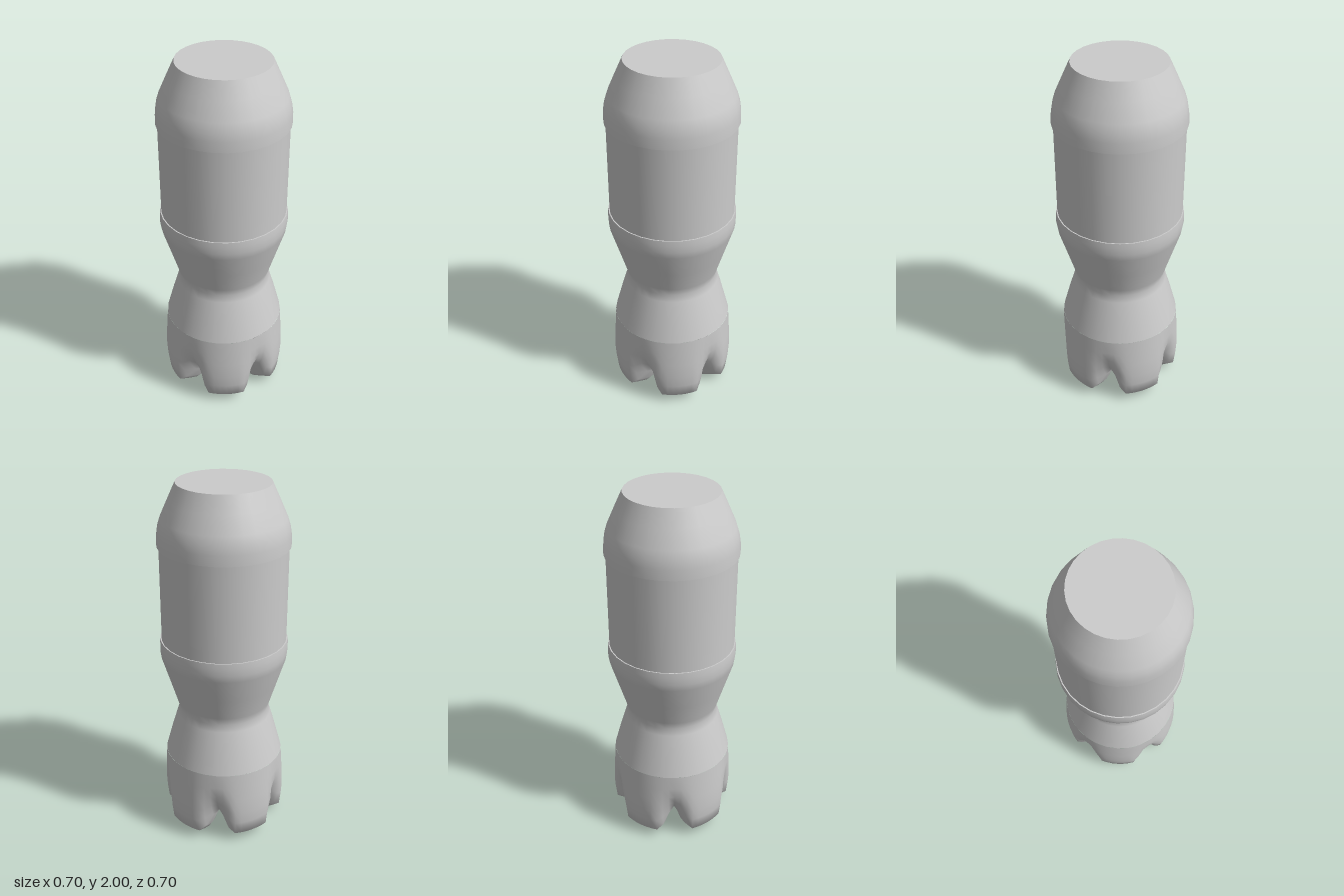
import * as THREE from 'three';
import { mergeVertices } from 'three/addons/utils/BufferGeometryUtils.js';

const material = new THREE.MeshStandardMaterial({ color: 0xcccccc });
const SIDES = 30;

// One turned section; separate sections keep the rims between them sharp.
function turned(name, profile, sides = SIDES) {
  const points = profile.map(([r, y]) => new THREE.Vector2(r, y));
  const mesh = new THREE.Mesh(new THREE.LatheGeometry(points, sides), material);
  mesh.name = name;
  return mesh;
}

// Five-footed base: each row blends from the foot profile to the valley profile.
function petalBase() {
  const foot = [[0, 0.08], [0.1, 0.05], [0.165, 0.005], [0.21, 0], [0.27, 0.025], [0.332, 0.055],
    [0.341, 0.13], [0.345, 0.2], [0.341, 0.29], [0.336, 0.36], [0.33, 0.45]];
  const valley = [[0, 0.08], [0.07, 0.085], [0.12, 0.095], [0.16, 0.11], [0.2, 0.135], [0.24, 0.165],
    [0.28, 0.21], [0.308, 0.255], [0.327, 0.31], [0.332, 0.37], [0.33, 0.45]];
  const mesh = turned('footedBase', foot, 60);
  const pos = mesh.geometry.attributes.position;
  const lobe = (Math.PI * 2) / 5;
  for (let i = 0; i < pos.count; i++) {
    const row = i % foot.length;
    const angle = (Math.floor(i / foot.length) / 60) * Math.PI * 2;
    const off = Math.abs(angle - Math.round(angle / lobe) * lobe);
    const t = THREE.MathUtils.smoothstep(off, lobe * 0.25, lobe * 0.5);
    const r = THREE.MathUtils.lerp(foot[row][0], valley[row][0], t);
    const y = THREE.MathUtils.lerp(foot[row][1], valley[row][1], t);
    pos.setXYZ(i, r * Math.sin(angle), y, r * Math.cos(angle));
  }
  // Weld the seam so the shading is continuous all round.
  mesh.geometry.deleteAttribute('uv');
  mesh.geometry.deleteAttribute('normal');
  mesh.geometry = mergeVertices(mesh.geometry, 1e-5);
  mesh.geometry.computeVertexNormals();
  return mesh;
}

export function createModel() {
  const bottle = new THREE.Group();
  bottle.name = 'bottle';
  bottle.add(
    petalBase(),
    // Pinched grip and the rounded band above it
    turned('waist', [[0.33, 0.45], [0.292, 0.59], [0.262, 0.69], [0.25, 0.73], [0.262, 0.775],
      [0.3, 0.9], [0.343, 1.04], [0.349, 1.08], [0.349, 1.12], [0.346, 1.15]]),
    turned('lowerRim', [[0.346, 1.15], [0.34, 1.15]]),
    turned('labelBand', [[0.34, 1.15], [0.34, 1.675]]),
    turned('upperRim', [[0.34, 1.675], [0.35, 1.675]]),
    // Shoulder tapering to the flat top
    turned('shoulder', [[0.35, 1.675], [0.348, 1.73], [0.341, 1.775], [0.327, 1.82],
      [0.287, 1.91], [0.246, 2]]),
    turned('topCap', [[0.246, 2], [0, 2]]),
  );
  return bottle;
}
